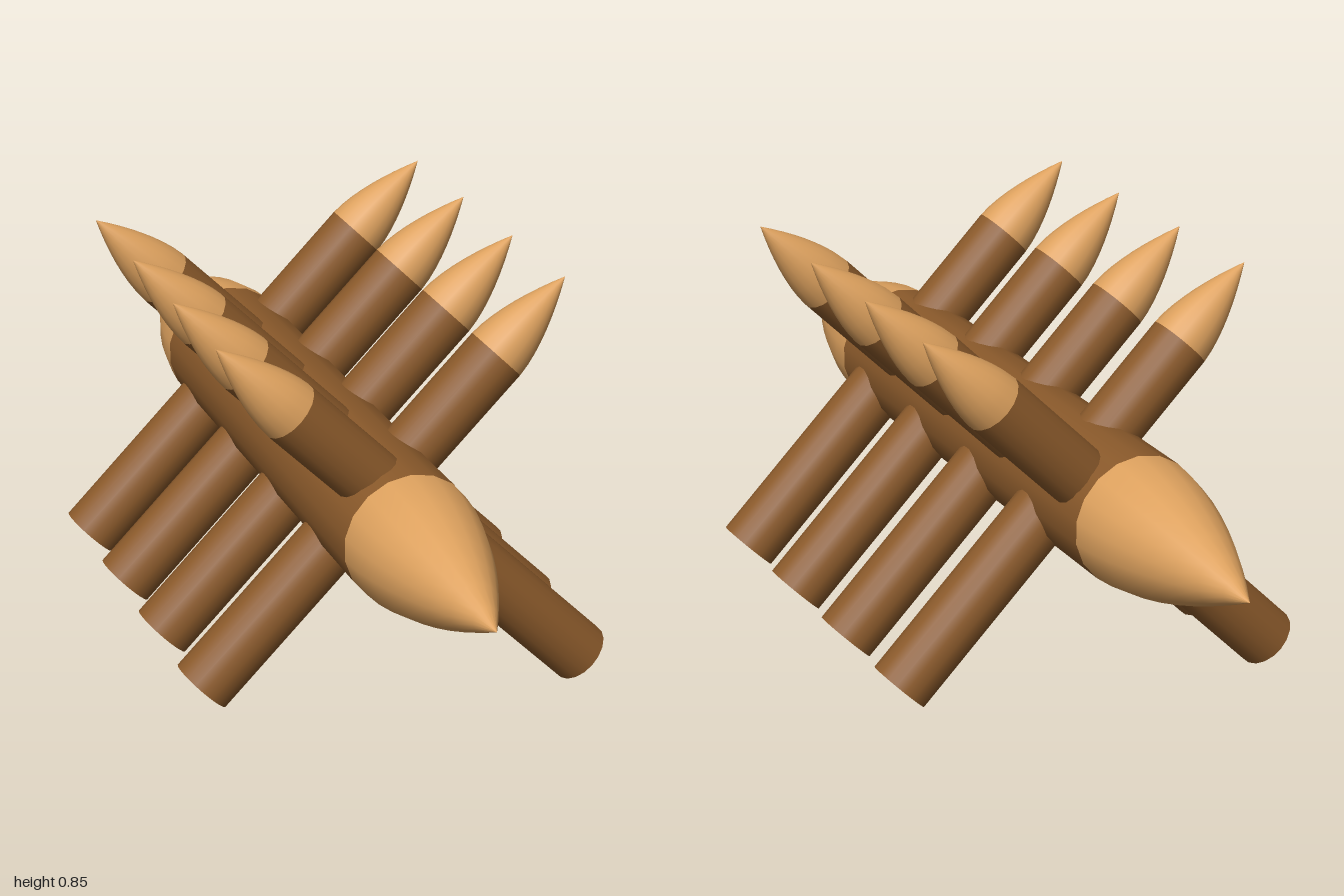
import * as THREE from 'three';

const bark = new THREE.MeshStandardMaterial({ name: 'bark brown', color: 0x8b5a2b });
const cutWood = new THREE.MeshStandardMaterial({ name: 'cut wood tan', color: 0xdda15e });

const SIDES = 18;

// Bulging sharpened point, standing on y = 0
function pointGeometry(radius, length) {
  const profile = [];
  for (let i = 0; i <= 8; i++) {
    const t = i / 8;
    profile.push(new THREE.Vector2(radius * (1 - Math.pow(t, 1.6)), length * t));
  }
  return new THREE.LatheGeometry(profile, SIDES);
}

function addMesh(parent, name, geometry, material, y = 0) {
  const mesh = new THREE.Mesh(geometry, material);
  mesh.name = name;
  mesh.position.y = y;
  parent.add(mesh);
  return mesh;
}

// Round stake along +y: bark shaft, pale sawn foot, sharpened point
function makeStake(radius, length, pointLength) {
  const stake = new THREE.Group();
  stake.name = 'stake';
  addMesh(stake, 'stakeShaft', new THREE.CylinderGeometry(radius, radius, length, SIDES, 1, true), bark, length / 2);
  addMesh(stake, 'stakePoint', pointGeometry(radius, pointLength), cutWood, length);
  addMesh(stake, 'stakeFoot', new THREE.CircleGeometry(radius, SIDES).rotateX(Math.PI / 2), cutWood);
  return stake;
}

export function createModel() {
  const model = new THREE.Group();
  model.name = 'spikedBarricade';

  // Central log lying along z, sharpened at both ends
  const log = new THREE.Group();
  log.name = 'centralLog';
  log.position.set(-0.03, 0.422, 0);
  log.rotation.x = Math.PI / 2;
  addMesh(log, 'logShaft', new THREE.CylinderGeometry(0.141, 0.141, 1.124, SIDES, 1, true), bark);
  addMesh(log, 'frontPoint', pointGeometry(0.141, 0.438), cutWood, 0.562);
  addMesh(log, 'backPoint', pointGeometry(0.141, 0.438), cutWood, -0.562).rotation.x = Math.PI;
  model.add(log);

  // Eight stakes, leaning alternately left and right at 45 degrees
  for (let i = 0; i < 8; i++) {
    const side = i % 2 === 0 ? 1 : -1;
    const stake = makeStake(0.066, 0.917, 0.213);
    stake.position.set(side * 0.398, 0.047, 0.466 - i * 0.134);
    stake.rotation.z = side * Math.PI / 4;
    model.add(stake);
  }
  return model;
}
